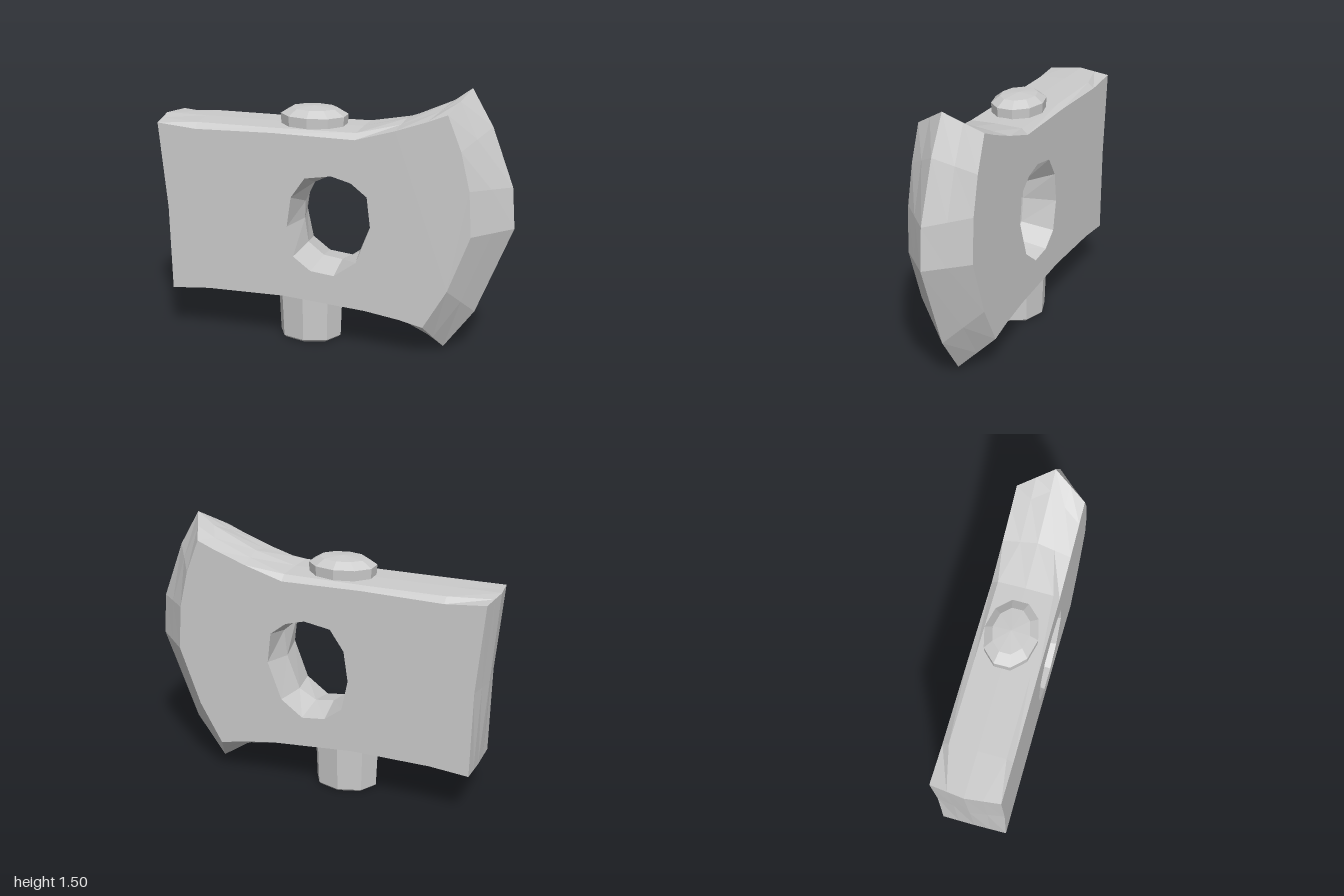
import * as THREE from 'three';

const HALF = 0.185; // half thickness of the head

// Head outline, counter-clockwise: [face x, face y, ridge x, ridge y, has shoulder]
const OUTLINE = [
  [-0.92, 0.265, -0.92, 0.255], [-0.7, 0.285, -0.7, 0.257], [-0.25, 0.29, -0.25, 0.255],
  [0.22, 0.255, 0.25, 0.25], [0.42, 0.225, 0.48, 0.12],
  [0.55, 0.195, 0.63, 0.02], [0.68, 0.42, 0.8, 0.25], [0.8, 0.74, 1, 0.75],
  [0.785, 0.99, 0.983, 0.98], [0.735, 1.2, 0.865, 1.3], [0.66, 1.39, 0.75, 1.5],
  [0.55, 1.345, 0.655, 1.43], [0.38, 1.285, 0.4, 1.315], [0.16, 1.22, 0.16, 1.255, 1],
  [-0.3, 1.225, -0.3, 1.25, 1], [-0.75, 1.215, -0.75, 1.25, 1], [-0.975, 1.235, -1, 1.25],
  [-0.93, 0.75, -0.96, 0.75],
];

// Eye opening: wide at both faces, narrower in the middle
const EYE = [
  [0.25, 0.74], [0.23, 0.91], [0.14, 0.98], [0.03, 1.01], [-0.12, 0.985], [-0.2, 0.87],
  [-0.225, 0.7], [-0.19, 0.53], [-0.09, 0.455], [0.045, 0.44], [0.17, 0.53],
];
const EYE_WAIST = [
  [0.215, 0.72], [0.232, 0.87], [0.14, 0.95], [0, 0.975], [-0.12, 0.915], [-0.175, 0.8],
  [-0.18, 0.7], [-0.16, 0.56], [-0.07, 0.49], [0.04, 0.475], [0.14, 0.53],
];

const material = () => new THREE.MeshStandardMaterial({ color: 0xcccccc, flatShading: true });

function addMesh(group, name, geometry) {
  const mesh = new THREE.Mesh(geometry, material());
  mesh.name = name;
  group.add(mesh);
  return mesh;
}

// Skin closed rings of equal length, listed from back to front
function skin(rings, inward = false) {
  const pos = [];
  for (let r = 0; r < rings.length - 1; r++) {
    const back = rings[r], front = rings[r + 1], n = back.length;
    for (let i = 0; i < n; i++) {
      const j = (i + 1) % n;
      const [a, b, c, d] = [back[i], back[j], front[j], front[i]];
      const corners = inward ? [a, c, b, a, d, c] : [a, b, c, a, c, d];
      corners.forEach((p) => pos.push(...p));
    }
  }
  const geometry = new THREE.BufferGeometry();
  geometry.setAttribute('position', new THREE.Float32BufferAttribute(pos, 3));
  geometry.computeVertexNormals();
  return geometry;
}

// Faceted round peg with its own profile, flattened in z
function peg(profile, sides, depth) {
  const points = profile.map(([r, y]) => new THREE.Vector2(r, y));
  return new THREE.LatheGeometry(points, sides).scale(1, 1, depth);
}

export function createModel() {
  const model = new THREE.Group();
  const head = new THREE.Group();
  head.name = 'axeHead';
  model.add(head);

  // Flat cheeks on both sides, pierced by the eye
  const shape = new THREE.Shape(OUTLINE.map(([x, y]) => new THREE.Vector2(x, y)));
  shape.holes.push(new THREE.Path(EYE.map(([x, y]) => new THREE.Vector2(x, y))));
  addMesh(head, 'frontCheek', new THREE.ShapeGeometry(shape).translate(0, 0, HALF));
  const backFace = new THREE.ShapeGeometry(shape).translate(0, 0, -HALF);
  const index = backFace.index.array;
  for (let i = 0; i < index.length; i += 3) [index[i], index[i + 1]] = [index[i + 1], index[i]];
  backFace.computeVertexNormals();
  addMesh(head, 'backCheek', backFace);

  // Rim: ridge in the middle, shoulders along the top, cutting edge at the right
  const face = (s) => OUTLINE.map(([x, y]) => [x, y, s * HALF]);
  const ridge = OUTLINE.map(([, , x, y]) => [x, y, 0]);
  const shoulder = (s) => OUTLINE.map(([fx, fy, mx, my, flat]) => (flat
    ? [mx, my - 0.004, s * 0.15]
    : [(fx + mx) / 2, (fy + my) / 2, s * HALF / 2]));
  addMesh(head, 'bladeAndRim', skin([face(-1), shoulder(-1), ridge, shoulder(1), face(1)]));

  // Wall of the eye
  const ring = (pts, z) => pts.map(([x, y]) => [x, y, z]);
  addMesh(head, 'eyeWall',
    skin([ring(EYE, -HALF), ring(EYE_WAIST, 0), ring(EYE, HALF)], true));

  // Handle: stub below the head and domed end above it
  const stub = addMesh(model, 'handleStub',
    peg([[0, 0], [0.165, 0], [0.18, 0.012], [0.19, 0.27], [0.17, 0.35], [0, 0.35]], 8, 0.77));
  stub.position.x = -0.15;
  const end = addMesh(model, 'handleEnd',
    peg([[0, 1.15], [0.18, 1.15], [0.19, 1.305], [0.13, 1.34], [0, 1.35]], 10, 0.75));
  end.position.x = -0.12;

  return model;
}
